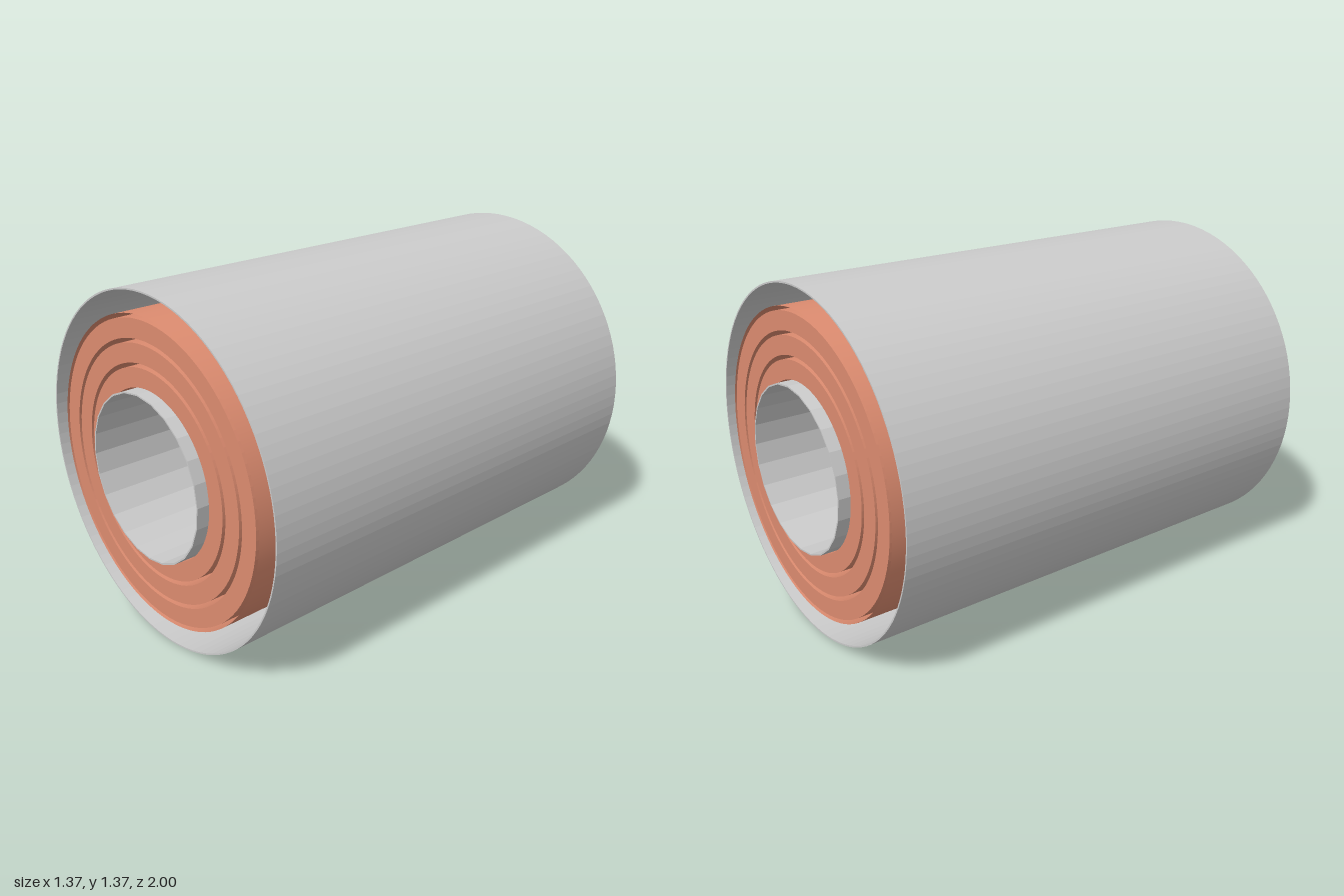
import * as THREE from 'three';

const grey = new THREE.MeshStandardMaterial({ color: 0xcccccc, flatShading: true });
const copper = new THREE.MeshStandardMaterial({ color: 0xdd8c70 });
copper.flatShading = true;
const copperSheet = new THREE.MeshStandardMaterial({ color: 0xdd8c70, side: THREE.DoubleSide });

const AXIS_Y = 0.684; // height of the shared axis

// closed hollow cylinder along z
function hollowCylinder(name, inner, outer, length, sides, material) {
  const h = length / 2;
  const profile = [[inner, -h], [outer, -h], [outer, h], [inner, h], [inner, -h]]
    .map(([r, y]) => new THREE.Vector2(r, y));
  const geometry = new THREE.LatheGeometry(profile, sides).rotateX(Math.PI / 2);
  const mesh = new THREE.Mesh(geometry, material);
  mesh.name = name;
  mesh.position.y = AXIS_Y;
  return mesh;
}

export function createModel() {
  const group = new THREE.Group();
  group.name = 'coilAssembly';

  // thin outer casing and the longer central former
  group.add(hollowCylinder('outerCasing', 0.678, 0.684, 1.91, 96, grey));
  group.add(hollowCylinder('innerTube', 0.318, 0.324, 2, 24, grey));

  // three nested winding layers with narrow gaps
  const layers = [[0.328, 0.402], [0.418, 0.491], [0.507, 0.58]];
  layers.forEach(([inner, outer], i) => {
    group.add(hollowCylinder(`windingLayer${i + 1}`, inner, outer, 1.91, 96, copper));
  });

  // thin wrap around the windings
  const wrap = new THREE.Mesh(
    new THREE.CylinderGeometry(0.596, 0.596, 1.91, 96, 1, true).rotateX(Math.PI / 2),
    copperSheet
  );
  wrap.name = 'windingWrap';
  wrap.position.y = AXIS_Y;
  group.add(wrap);

  return group;
}
